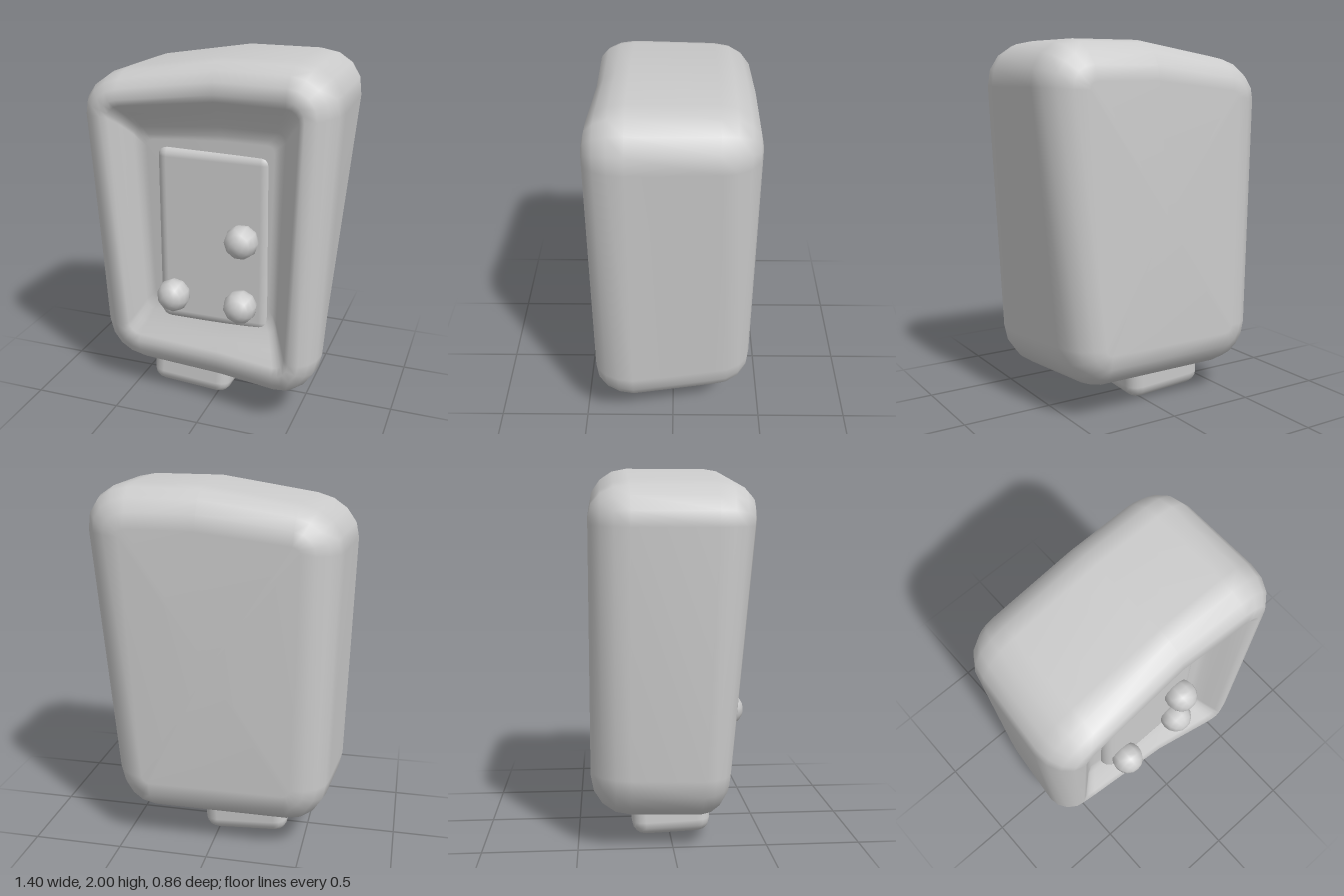
import * as THREE from 'three';
import { RoundedBoxGeometry } from 'three/addons/geometries/RoundedBoxGeometry.js';

const clamp01 = (v) => THREE.MathUtils.clamp(v, 0, 1);

// Rounded rectangle, counter-clockwise from the front, with an extra point
// on the top and bottom edges where the outline bends
function outline(insetX, insetY, radius) {
  const x0 = -0.69 + insetX, x1 = 0.665 - insetX;
  const y0 = 0.17 + insetY, y1 = 2.0 - insetY;
  const corners = [
    [x1 - radius, y0 + radius, -Math.PI / 2], [x1 - radius, y1 - radius, 0],
    [x0 + radius, y1 - radius, Math.PI / 2], [x0 + radius, y0 + radius, Math.PI],
  ];
  const points = [];
  corners.forEach(([cx, cy, start], k) => {
    for (let i = 0; i <= 4; i++) {
      const a = start + (i / 4) * Math.PI / 2;
      points.push([cx + radius * Math.cos(a), cy + radius * Math.sin(a)]);
    }
    if (k === 1) points.push([0.06, y1]);
    if (k === 3) points.push([0.06, y0]);
  });
  return points;
}

// Hand-made wonkiness: sloping top, tapering sides, skewed bottom, dipped rim
function warp(x, y, z, dips) {
  const t = (y - 0.17) / 1.83;
  const side = x / 0.67;
  const back = 1 - clamp01((z + 0.2) / 0.4);
  let wx = x + (x > 0 ? 0.085 : 0.04) * (t - 0.5) * side;
  // The back edges lean inwards, the right one towards the bottom
  wx -= side * back * (x < 0 ? 0.035 : 0.09 * (1 - t));
  const wy = y - 0.16 * Math.max(0, 0.06 - x) * t ** 3;
  // The lower left of the front is pushed back
  let wz = z - 0.15 * (1 - t) * clamp01(0.5 - x) * clamp01(z / 0.43);
  if (dips) wz -= 0.03 * clamp01(1 - Math.abs(x) / 0.5) * clamp01((z - 0.2) / 0.23);
  return [wx, wy, wz];
}

function bodyGeometry() {
  // Rings from back to front and on into the recess: [inset x, inset y, z, corner radius, dips]
  const rings = [];
  const R = 0.21, steps = 4;
  for (let i = 0; i <= steps; i++) {
    const a = (i / steps) * Math.PI / 2;
    const d = R * (1 - Math.sin(a));
    rings.push([d, d, -0.22 - R * Math.cos(a), 0.24 - d * 0.95, false]);
  }
  for (let i = 0; i <= steps; i++) {
    const a = (i / steps) * Math.PI / 2;
    const d = 0.145 * (1 - Math.cos(a));
    rings.push([d, d * 1.1, 0.22 + R * Math.sin(a), 0.24 - d, true]);
  }
  rings.push(
    [0.175, 0.2, 0.405, 0.07, true],
    [0.22, 0.27, 0.345, 0.06, true],
    [0.265, 0.35, 0.285, 0.05, false],
    [0.295, 0.4, 0.266, 0.045, false],
    [0.325, 0.43, 0.262, 0.04, false],
  );

  const positions = [], index = [];
  let n = 0;
  for (const [ix, iy, z, r, dips] of rings) {
    const points = outline(ix, iy, r);
    n = points.length;
    for (const [x, y] of points) positions.push(...warp(x, y, z, dips));
  }
  for (let i = 0; i < rings.length - 1; i++) {
    for (let j = 0; j < n; j++) {
      const a = i * n + j, b = i * n + (j + 1) % n;
      index.push(a, b, b + n, a, b + n, a + n);
    }
  }
  // Back panel and recess floor
  const back = rings.length * n, front = back + 1, last = back - n;
  positions.push(...warp(0, 1.08, -0.43, false), ...warp(0, 1.08, 0.262, false));
  for (let j = 0; j < n; j++) {
    const k = (j + 1) % n;
    index.push(k, j, back, last + j, last + k, front);
  }
  const geometry = new THREE.BufferGeometry();
  geometry.setAttribute('position', new THREE.Float32BufferAttribute(positions, 3));
  geometry.setIndex(index);
  geometry.computeVertexNormals();
  return geometry;
}

export function createModel() {
  const group = new THREE.Group();
  group.name = 'device';
  const material = new THREE.MeshStandardMaterial({ color: 0xcccccc });
  const add = (name, geometry, x = 0, y = 0, z = 0) => {
    const mesh = new THREE.Mesh(geometry, material);
    mesh.name = name;
    mesh.position.set(x, y, z);
    group.add(mesh);
    return mesh;
  };

  add('body', bodyGeometry());

  // Flat panel set into the recess
  add('panel', new RoundedBoxGeometry(0.65, 1.02, 0.16, 3, 0.06), 0.015, 1.01, 0.19);

  // Slightly tilted plug under the body
  const foot = add('foot', new RoundedBoxGeometry(0.48, 0.28, 0.425, 2, 0.075), -0.155, 0.157, 0);
  foot.rotation.set(-0.04, 0, -0.06);

  // Round buttons on the panel
  const button = new THREE.SphereGeometry(0.093, 10, 8);
  [[0.195, 1.05], [-0.2, 0.68], [0.19, 0.67]].forEach(([x, y], i) => {
    const mesh = add('button' + (i + 1), button, x, y, 0.32);
    mesh.rotation.set(Math.PI / 2, i * 0.4, 0);
  });
  return group;
}
